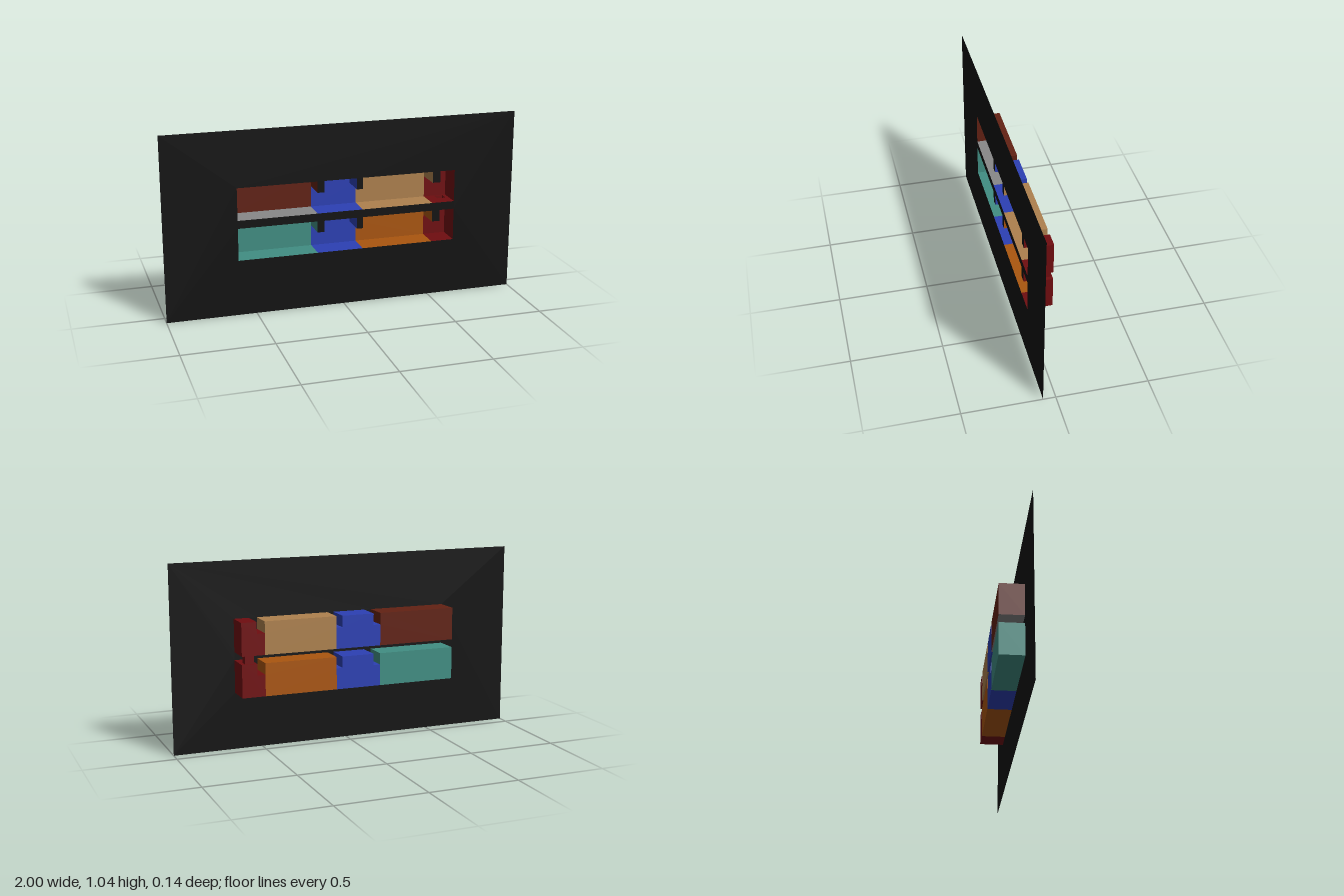
import * as THREE from 'three';

const FRONT = 0.068, BACK = -0.068, DEPTH = FRONT - BACK;
const H = 0.182, N = 0.118;              // room height, doorway height
const ROWS = [0.315, 0.542];             // floor heights of both storeys
const SHAFT = { x0: 0.58, x1: 0.63, z0: -0.06, z1: -0.01 };

const mat = (color) => new THREE.MeshStandardMaterial({ color, side: THREE.DoubleSide });
const toShape = (pts, y = 0) => new THREE.Shape(pts.map(([a, b]) => new THREE.Vector2(a, b + y)));
const rect = (x0, y0, x1, y1) => [[x0, y0], [x1, y0], [x1, y1], [x0, y1]];

// Room outlines; a vertical edge from 0 to N is an open doorway
const ROOMS = {
  leftRoom: [[-0.595, 0], [-0.15, 0], [-0.15, N], [-0.15, H], [-0.595, H]],
  middleRoom: [[-0.15, 0], [0.11, 0], [0.11, N], [0.075, N], [0.075, H], [-0.11, H], [-0.11, N], [-0.15, N]],
  longRoom: [[0.11, 0], [0.52, 0], [0.52, N], [0.52, H], [0.11, H], [0.11, N]],
  stairRoom: [[0.52, 0], [0.65, 0], [0.65, H], [0.565, H], [0.565, N], [0.52, N]],
};
const COLORS = [
  { leftRoom: 0x418e83, middleRoom: 0x2c40b4, longRoom: 0xaa560f, stairRoom: 0x700d10 },
  { leftRoom: 0x622113, middleRoom: 0x2c40b4, longRoom: 0xae814e, stairRoom: 0x700d10 },
];

// One wall, floor or ceiling running the full depth, with an optional shaft opening
function panel([xa, ya], [xb, yb], opening) {
  const len = Math.hypot(xb - xa, yb - ya);
  const cx = (xa + xb) / 2, cy = (ya + yb) / 2;
  const s = toShape(rect(-len / 2, -DEPTH / 2, len / 2, DEPTH / 2));
  if (opening) {
    s.holes.push(toShape(rect(SHAFT.x0 - cx, -SHAFT.z1, SHAFT.x1 - cx, -SHAFT.z0)));
  }
  const g = new THREE.ShapeGeometry(s).rotateX(-Math.PI / 2);
  if (xa === xb) g.rotateZ(Math.PI / 2);
  return g.translate(cx, cy, 0);
}

function makeRoom(name, row) {
  const room = new THREE.Group();
  room.name = (row ? 'upper ' : 'lower ') + name;
  const pts = ROOMS[name], y = ROWS[row], material = mat(COLORS[row][name]);
  const add = (geo, label, m = material) => {
    const mesh = new THREE.Mesh(geo.translate(0, y, 0), m);
    mesh.name = label;
    room.add(mesh);
  };
  add(new THREE.ShapeGeometry(toShape(pts)).translate(0, 0, BACK), 'backWall');
  pts.forEach((a, i) => {
    const b = pts[(i + 1) % pts.length];
    if (a[0] === b[0] && Math.max(a[1], b[1]) === N) return;   // doorway
    const isFloor = a[1] === 0 && b[1] === 0;
    const isCeiling = a[1] === H && b[1] === H;
    const opening = name === 'stairRoom' && (row ? isFloor : isCeiling);
    const grey = isFloor && row === 1 && name === 'leftRoom';
    add(panel(a, b, opening), isFloor ? 'floor' : isCeiling ? 'ceiling' : 'wall',
      grey ? mat(0x888888) : material);
  });
  return room;
}

export function createModel() {
  const model = new THREE.Group();
  model.name = 'cutawayRooms';

  // Black front sheet with the outline of each storey cut out
  const sheet = toShape(rect(-1, 0, 1, 1.04));
  const outline = [[-0.595, 0], [0.65, 0], [0.65, H], [0.565, H], [0.565, N], [0.52, N], [0.52, H],
    [0.11, H], [0.11, N], [0.075, N], [0.075, H], [-0.11, H], [-0.11, N], [-0.15, N], [-0.15, H], [-0.595, H]];
  ROWS.forEach((y) => sheet.holes.push(toShape(outline, y)));
  const front = new THREE.Mesh(new THREE.ShapeGeometry(sheet).translate(0, 0, FRONT), mat(0x111111));
  front.name = 'frontSheet';
  model.add(front);

  // Rooms of both storeys
  ROWS.forEach((_, row) => Object.keys(ROOMS).forEach((name) => model.add(makeRoom(name, row))));

  // Open square shaft joining the two storeys
  const shaft = new THREE.Group();
  shaft.name = 'shaft';
  const low = ROWS[0] + H, gap = ROWS[1] - low;
  const w = SHAFT.x1 - SHAFT.x0, d = SHAFT.z1 - SHAFT.z0;
  for (let i = 0; i < 4; i++) {
    const side = i % 2 ? w : d, off = i % 2 ? d : w;
    const wall = new THREE.Mesh(
      new THREE.PlaneGeometry(side, gap).translate(0, 0, off / 2).rotateY((i + 1) * Math.PI / 2),
      mat(COLORS[0].stairRoom));
    wall.name = 'shaftWall';
    shaft.add(wall);
  }
  shaft.position.set((SHAFT.x0 + SHAFT.x1) / 2, low + gap / 2, (SHAFT.z0 + SHAFT.z1) / 2);
  model.add(shaft);
  return model;
}
